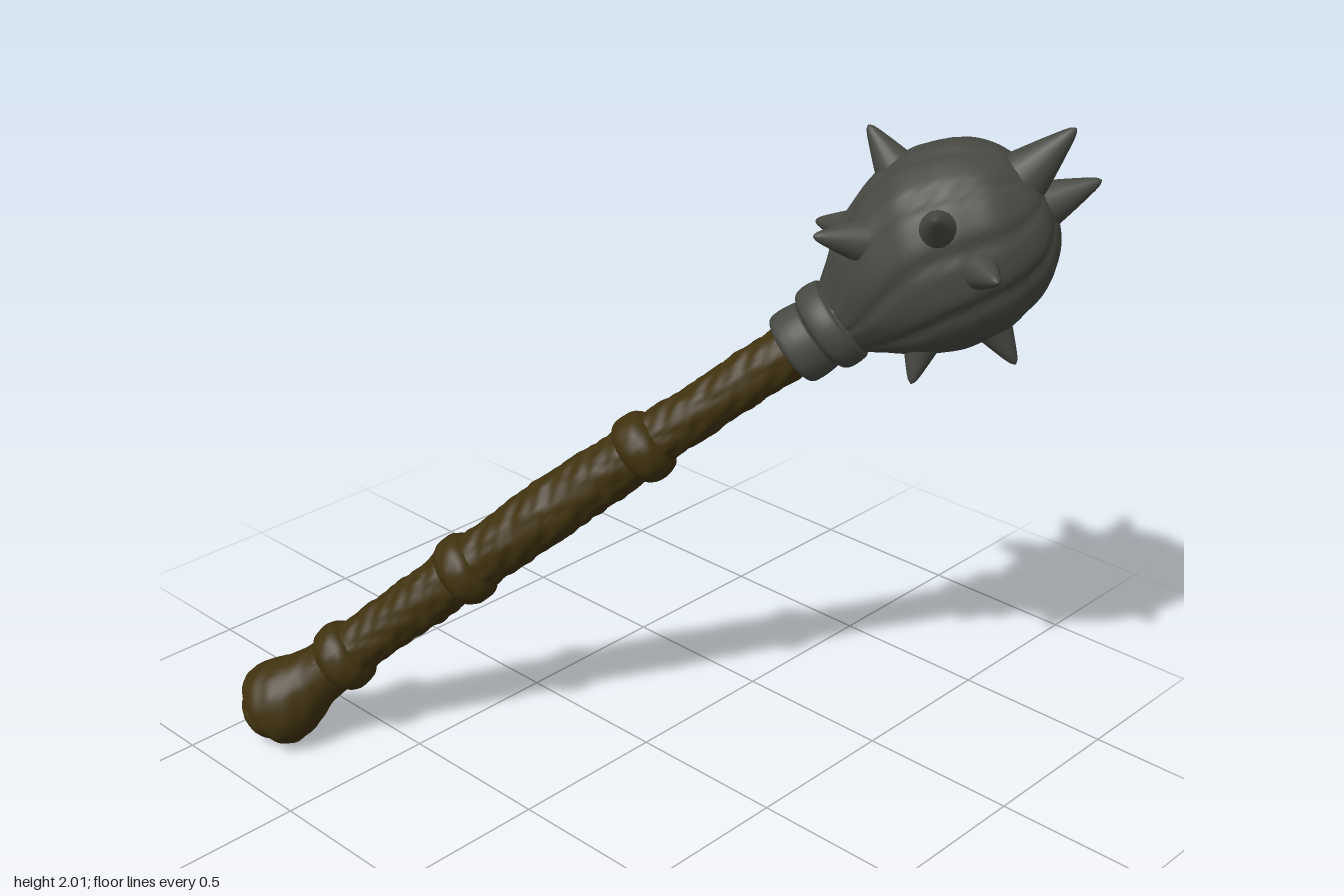
import * as THREE from 'three';
import { mergeVertices } from 'three/addons/utils/BufferGeometryUtils.js';

const wood = new THREE.MeshStandardMaterial({ color: 0x40320f });
wood.name = 'dark wood';
const iron = new THREE.MeshStandardMaterial({ color: 0x484843 });
iron.name = 'dark iron';

// The club runs from its pommel to the middle of its head
const foot = new THREE.Vector3(-0.83, 0.12, 0.765);
const headCentre = new THREE.Vector3(0.62, 1.64, -0.55);
const axisY = headCentre.clone().sub(foot).normalize();
const axisZ = new THREE.Vector3(1, 0, 1).cross(axisY).normalize();
const axisX = axisY.clone().cross(axisZ);

// Lathe along y from [radius, height] points, carved by carve(angle, height, radius)
function turned(name, material, points, rings, sides, carve) {
  const curve = new THREE.SplineCurve(points.map(([r, y]) => new THREE.Vector2(r, y)));
  const profile = curve.getPoints(rings);
  profile.forEach((p) => { p.x = Math.max(p.x, 0); });
  let geo = new THREE.LatheGeometry(profile, sides);
  geo.deleteAttribute('uv');
  geo.deleteAttribute('normal');
  geo = mergeVertices(geo, 1e-5);
  const pos = geo.attributes.position;
  for (let i = 0; i < pos.count; i++) {
    const x = pos.getX(i), y = pos.getY(i), z = pos.getZ(i);
    const r = Math.hypot(x, z);
    const [kx, kz, ox, oz] = carve(Math.atan2(x, z), y, r);
    pos.setXYZ(i, x * kx + ox, y, z * kz + oz);
  }
  geo.computeVertexNormals();
  const mesh = new THREE.Mesh(geo, material);
  mesh.name = name;
  return mesh;
}

// The shaft bows a little to one side
function bow(y) {
  const b = Math.sin(Math.PI * THREE.MathUtils.clamp(y / 2.2, 0, 1));
  return [-0.018 * b, 0.014 * b];
}

// Knotty bark: long grain broken by small pits
function bark(amount) {
  return (a, y) => {
    const grain = Math.sin(6 * a + 2.5 * Math.sin(7 * y)) * Math.sin(31 * y + 2 * Math.sin(3 * a));
    const pits = Math.sin(11 * a + 17 * y) * Math.sin(73 * y - 4 * a);
    const k = 1 + amount * (grain + 0.8 * pits);
    return [k, k, ...bow(y)];
  };
}

// Long wavering grooves around the head, which is slightly flattened
function grooves(a, y) {
  const wave = Math.cos(5 * a + 1.5 * Math.sin(6 * y) + 2 * y);
  const dents = 0.012 * Math.sin(8 * a + 19 * y) * Math.sin(27 * y - 3 * a);
  const k = 1 - 0.05 * Math.pow(Math.abs(wave), 14) + dents;
  return [0.93 * k, 1.02 * k, 0, 0];
}

const plain = (a, y) => [1, 1, ...bow(y)];

export function createModel() {
  const model = new THREE.Group();
  model.name = 'spikedClub';

  const club = new THREE.Group();
  club.name = 'club';
  club.position.copy(foot);
  club.quaternion.setFromRotationMatrix(new THREE.Matrix4().makeBasis(axisX, axisY, axisZ));
  model.add(club);

  // Wooden shaft
  club.add(turned('shaft', wood, [
    [0.09, 0.1], [0.083, 0.35], [0.086, 0.6], [0.088, 0.8], [0.093, 1.05],
    [0.088, 1.3], [0.08, 1.5], [0.077, 1.75], [0.08, 2.05],
  ], 170, 40, bark(0.05)));

  // Pommel with a small end knob
  club.add(turned('pommel', wood, [
    [0, -0.125], [0.05, -0.12], [0.078, -0.1], [0.086, -0.075], [0.12, -0.06],
    [0.133, -0.02], [0.13, 0.03], [0.113, 0.08], [0.095, 0.14], [0.085, 0.22],
  ], 60, 40, bark(0.018)));

  // Raised wooden rings
  [[0.26, 0.108], [0.75, 0.11], [1.43, 0.107]].forEach(([y, r], i) => {
    club.add(turned('ring' + (i + 1), wood, [
      [0.075, y - 0.06], [r - 0.012, y - 0.045], [r, y - 0.02],
      [r, y + 0.02], [r - 0.012, y + 0.045], [0.075, y + 0.06],
    ], 24, 40, bark(0.02)));
  });

  // Iron collar with two bands
  club.add(turned('collar', iron, [
    [0.07, 1.945], [0.106, 1.955], [0.113, 1.99], [0.11, 2.03], [0.108, 2.045],
    [0.127, 2.06], [0.133, 2.09], [0.128, 2.125], [0.112, 2.14], [0.115, 2.22],
  ], 50, 40, plain));

  // Egg-shaped iron head
  club.add(turned('head', iron, [
    [0.1, 2.11], [0.145, 2.17], [0.205, 2.25], [0.255, 2.35], [0.28, 2.46],
    [0.272, 2.57], [0.235, 2.67], [0.165, 2.745], [0.08, 2.782], [0, 2.79],
  ], 80, 90, grooves));

  // Spikes, each given by its tip
  const tips = [
    [0.89, 2.0, -0.73], [0.94, 1.85, -0.8], [0.39, 1.96, -0.47], [0.3, 1.82, -0.66],
    [0.2, 1.63, -0.49], [0.45, 1.75, -0.89], [0.35, 1.42, -0.79], [0.78, 1.83, -0.27],
    [0.44, 1.72, -0.19], [0.93, 1.67, -0.36], [0.82, 1.32, -0.64], [0.64, 1.28, -0.4],
  ];
  const up = new THREE.Vector3(0, 1, 0);
  tips.forEach((t, i) => {
    const tip = new THREE.Vector3(...t);
    const out = tip.clone().sub(headCentre).normalize();
    const spike = turned('spike' + (i + 1), iron, [
      [0.088, -0.21], [0.07, -0.165], [0.056, -0.125], [0.036, -0.07], [0.014, -0.015], [0, 0],
    ], 16, 20, () => [1, 1, 0, 0]);
    spike.position.copy(tip);
    spike.quaternion.setFromUnitVectors(up, out);
    model.add(spike);
  });

  return model;
}
